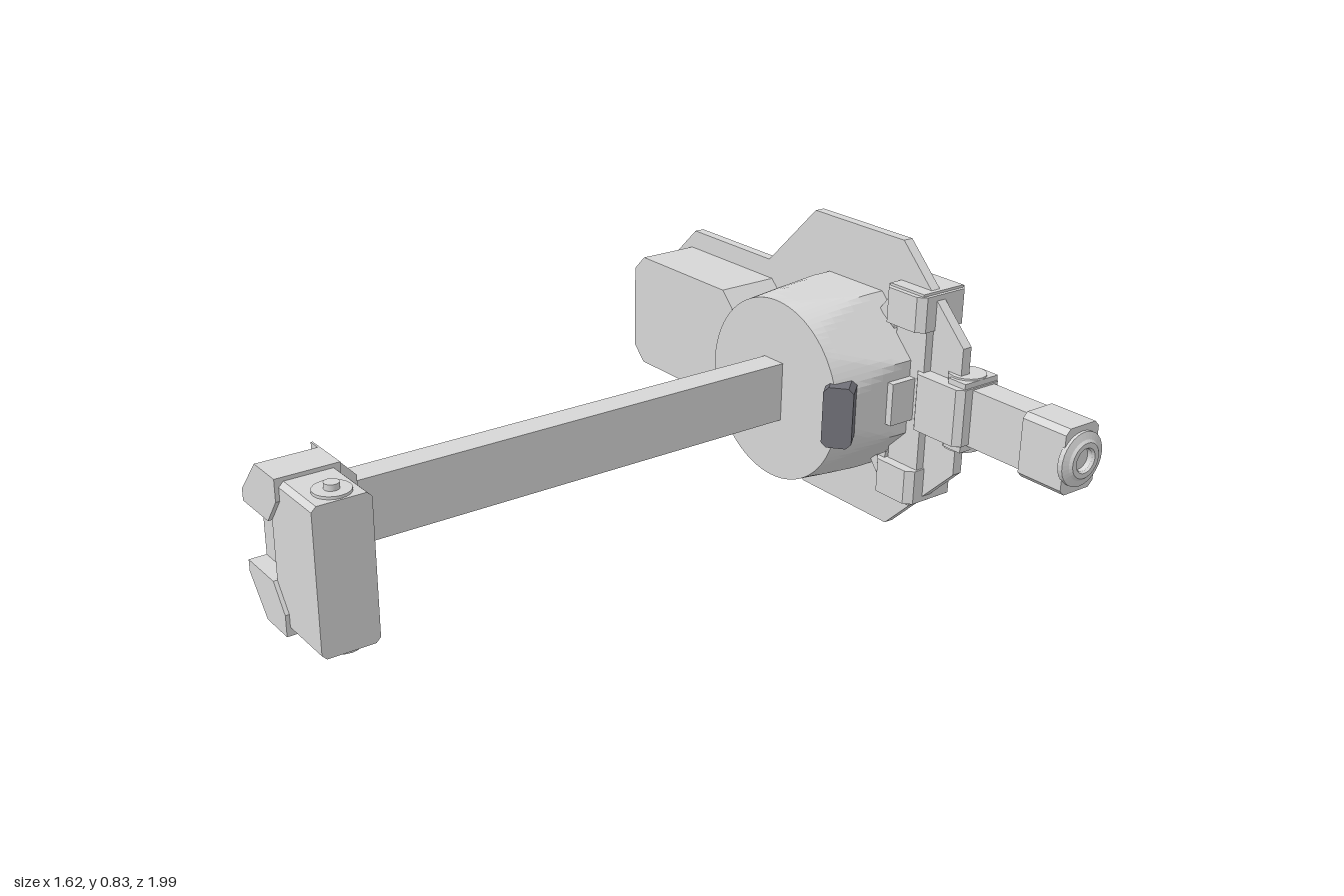
import * as THREE from 'three';

const grey = new THREE.MeshStandardMaterial({ color: 0xd6d6d6 });
grey.name = 'machineGrey';
const dark = new THREE.MeshStandardMaterial({ color: 0x707078 });
dark.name = 'darkGrip';

export function createModel() {
  const root = new THREE.Group();
  const CY = 0.42;

  const add = (name, geo, mat = grey) => {
    const m = new THREE.Mesh(geo, mat);
    m.name = name;
    root.add(m);
    return m;
  };
  // Box from its limits on each axis
  const box = (name, x0, x1, y0, y1, z0, z1) =>
    add(name, new THREE.BoxGeometry(x1 - x0, y1 - y0, z1 - z0)
      .translate((x0 + x1) / 2, (y0 + y1) / 2, (z0 + z1) / 2));
  const toShape = pts => new THREE.Shape(pts.map(p => new THREE.Vector2(p[0], p[1])));
  const extrude = (pts, depth) => new THREE.ExtrudeGeometry(toShape(pts), { depth, bevelEnabled: false });
  // Prism along z from an (x, y) outline
  const prismZ = (name, pts, z0, z1) => add(name, extrude(pts, z1 - z0).translate(0, 0, z0));
  // Prism along x from a (z, y) outline
  const prismX = (name, pts, x0, x1) =>
    add(name, extrude(pts.map(([z, y]) => [-z, y]), x1 - x0).rotateY(Math.PI / 2).translate(x0, 0, 0));
  // Prism along y from an (x, z) outline
  const prismY = (name, pts, y0, y1) =>
    add(name, extrude(pts.map(([x, z]) => [x, -z]), y1 - y0).rotateX(-Math.PI / 2).translate(0, y0, 0));
  // Rectangle with cut corners
  const cut = (a0, a1, b0, b1, c) => [[a0 + c, b0], [a1 - c, b0], [a1, b0 + c], [a1, b1 - c],
    [a1 - c, b1], [a0 + c, b1], [a0, b1 - c], [a0, b0 + c]];
  const screw = (name, x, y, z, r, h) =>
    add(name, new THREE.CylinderGeometry(r, r, h, 20).translate(x, y, z));

  // Mounting plate and side box
  prismZ('mountingPlate', [[-0.815, 0.285], [-0.72, 0.195], [-0.37, 0.195], [-0.18, 0.003], [0.17, 0.003], [0.41, 0.24],
    [0.41, 0.6], [0.17, 0.835], [-0.18, 0.835], [-0.37, 0.643], [-0.72, 0.643], [-0.815, 0.55]], -0.855, -0.825);
  prismZ('sideBox', cut(-0.78, -0.31, 0.25, 0.588, 0.045), -0.825, -0.64);

  // Drum: an octagon whose corners are turned down to a circle at the front
  const N = 96, rows = [-0.83, -0.77, -0.74, -0.7, -0.66, -0.62, -0.58, -0.54];
  const pos = [], idx = [];
  for (const z of rows) {
    const cone = 0.255 + 0.022 * Math.min(1, (-0.54 - z) / 0.23);
    for (let i = 0; i <= N; i++) {
      const a = i / N * Math.PI * 2, q = Math.PI / 4;
      const oct = 0.255 / Math.cos(a - Math.round(a / q) * q);
      const r = Math.min(oct, cone);
      pos.push(r * Math.cos(a) - 0.005, CY + r * Math.sin(a), z);
    }
  }
  for (let j = 0; j < rows.length - 1; j++) for (let i = 0; i < N; i++) {
    const a = j * (N + 1) + i, b = a + N + 1;
    idx.push(a, a + 1, b + 1, a, b + 1, b);
  }
  const drumIndexed = new THREE.BufferGeometry();
  drumIndexed.setAttribute('position', new THREE.Float32BufferAttribute(pos, 3));
  drumIndexed.setIndex(idx);
  const drum = drumIndexed.toNonIndexed();
  drum.computeVertexNormals();
  add('drum', drum);
  add('drumFace', new THREE.CircleGeometry(0.255, N).translate(-0.005, CY, -0.54));
  add('rearDisc', new THREE.CylinderGeometry(0.18, 0.18, 0.012, 48).rotateX(Math.PI / 2).translate(0, CY, -0.861));
  for (const s of [-1, 1]) add('rearDiscPin', new THREE.CylinderGeometry(0.015, 0.015, 0.012, 16)
    .rotateX(Math.PI / 2).translate(0.03, CY + s * 0.21, -0.858));

  // Dark grip on the side of the drum
  const grip = add('grip', extrude(cut(-0.04, 0.04, -0.085, 0.085, 0.014), 0.08).translate(0, 0, -0.04), dark);
  grip.position.set(0.235, 0.425, -0.563);
  grip.rotation.y = 0.7;

  // Long beam
  box('longBeam', -0.045, 0.03, 0.34, 0.505, -0.55, 0.95);

  // Front clamp: wedge-shaped back, open jaw, block
  prismX('clampCheek', [[0.755, 0.31], [0.835, 0.225], [0.84, 0.225], [0.84, 0.615], [0.835, 0.615], [0.755, 0.53]], 0, 0.05);
  prismX('clampCheekOuter', [[0.775, 0.325], [0.84, 0.29], [0.84, 0.55], [0.775, 0.515]], -0.045, 0);
  const low = [[-0.045, 0.315], [0.035, 0.225], [0.135, 0.225]];
  const high = low.map(([x, y]) => [x, 2 * CY - y]).reverse();
  prismZ('clampCore', [...low, ...high], 0.835, 0.94);
  prismZ('clampJaw', [...low, [0.135, 0.28], [0.085, 0.345], [-0.045, 0.345]], 0.94, 0.995);
  prismZ('clampJaw', [[-0.045, 0.495], [0.085, 0.495], [0.135, 0.56], ...high], 0.94, 0.995);
  prismZ('clampJawBridge', [[0.085, 0.345], [0.135, 0.28], [0.135, 0.56], [0.085, 0.495]], 0.94, 0.985);
  prismX('clampBlock', cut(0.84, 0.985, 0.235, 0.605, 0.012), 0.13, 0.29);
  for (const s of [-1, 1]) {
    screw('clampBoss', 0.24, CY + s * 0.186, 0.91, 0.045, 0.012);
    screw('clampScrew', 0.24, CY + s * 0.195, 0.91, 0.018, 0.024);
  }

  // Rear clamp: column, end caps and forks
  box('rearColumn', 0.19, 0.3, 0.2, 0.64, -0.92, -0.8);
  for (const s of [-1, 1]) {
    const at = (a, b) => [Math.min(CY + s * a, CY + s * b), Math.max(CY + s * a, CY + s * b)];
    prismY('rearEndCap', cut(0.16, 0.305, -0.945, -0.77, 0.02), ...at(0.2, 0.298));
    box('rearEndLip', 0.17, 0.295, ...at(0.29, 0.305), -0.93, -0.785);
    screw('rearScrew', 0.235, CY + s * 0.192, -0.855, 0.02, 0.03);
    const brace = [[0.13, CY + s * 0.22], [0.17, CY + s * 0.27], [0.19, CY + s * 0.18]];
    prismZ('rearBrace', s > 0 ? brace.reverse() : brace, -0.92, -0.79);
    prismY('rearFork', [[-0.03, -0.88], [-0.03, -0.96], [-0.005, -0.985], [0.18, -0.985], [0.2, -0.88]], ...at(0.07, 0.105));
    box('rearForkFoot', 0.0, 0.15, ...at(0.14, 0.165), -0.9, -0.855);
  }
  // Spindle-shaped fin that leans inward at its middle
  const fin = prismX('rearFin', [[-0.9, 0.14], [-0.945, 0.17], [-0.998, 0.34], [-0.998, 0.51], [-0.945, 0.67], [-0.9, 0.7]], 0.1, 0.17);
  const p = fin.geometry.attributes.position;
  for (let i = 0; i < p.count; i++) p.setX(i, p.getX(i) + 0.32 * Math.max(0, Math.abs(p.getY(i) - CY) - 0.085));
  fin.geometry.computeVertexNormals();
  box('rearCentreBlock', 0.02, 0.2, 0.37, 0.47, -0.95, -0.855);
  box('rearFrontPad', 0.18, 0.27, 0.36, 0.48, -0.8, -0.72);

  // Stub arm with a ringed end
  prismY('stubSocket', cut(0.28, 0.455, -0.935, -0.78, 0.018), 0.345, 0.505);
  box('stubSocketBand', 0.39, 0.45, 0.325, 0.52, -0.92, -0.8);
  screw('stubPivot', 0.4, 0.42, -0.86, 0.05, 0.21);
  box('stubBeam', 0.45, 0.66, 0.34, 0.5, -0.905, -0.825);
  prismX('stubEnd', cut(-0.92, -0.8, 0.33, 0.51, 0.015), 0.65, 0.79);
  const ring = [[0.03, -0.02], [0.055, -0.02], [0.074, -0.012], [0.074, 0.002], [0.055, 0.008], [0.048, 0.014],
    [0.034, 0.014], [0.03, 0.008], [0.03, -0.02]].map(q => new THREE.Vector2(...q));
  const ringGeo = new THREE.LatheGeometry(ring, 32).toNonIndexed();
  ringGeo.computeVertexNormals();
  add('endRing', ringGeo.rotateZ(-Math.PI / 2).translate(0.796, CY, -0.86));
  return root;
}
